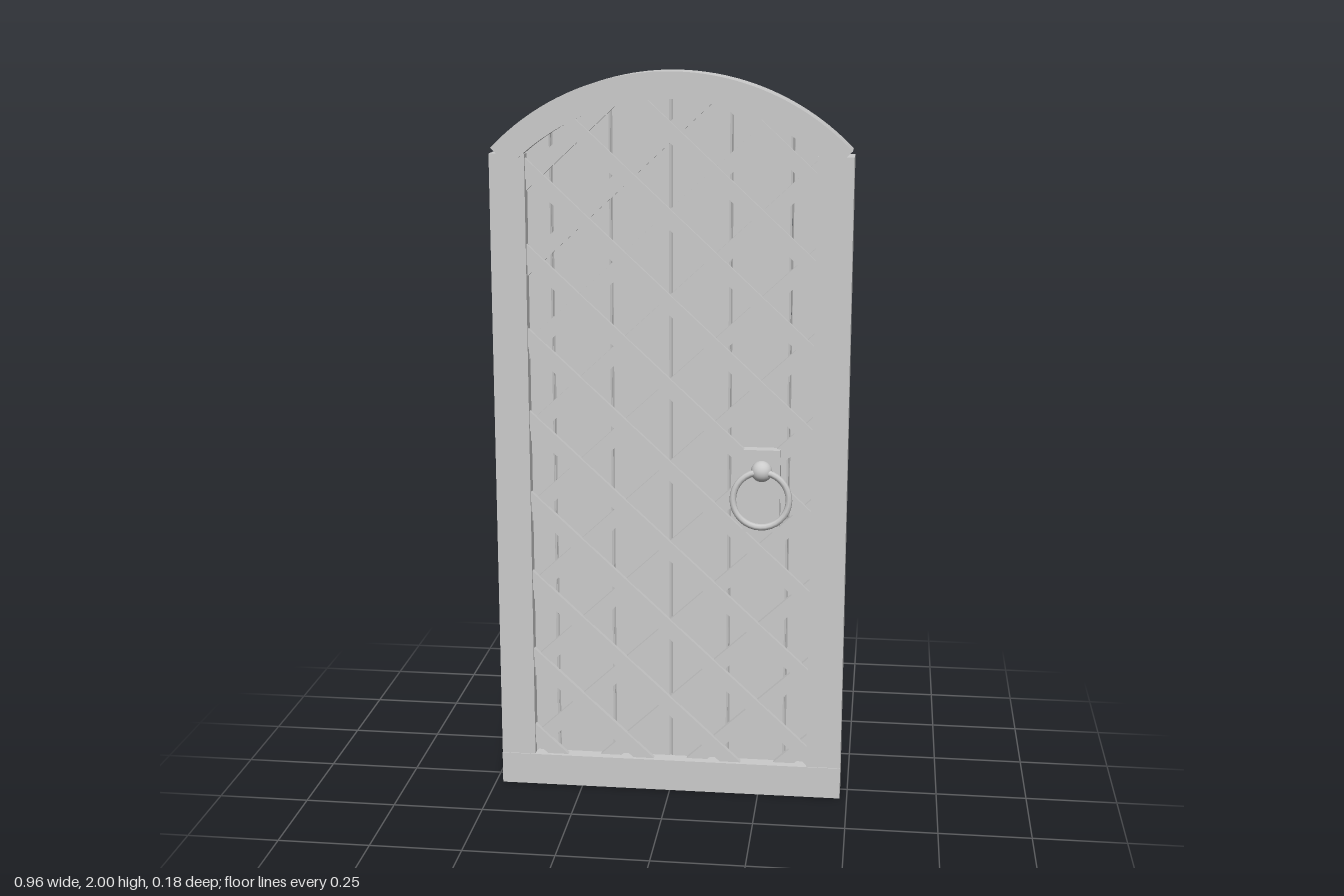
import * as THREE from 'three';

const mat = new THREE.MeshStandardMaterial({ color: 0xcccccc, flatShading: true });
const smooth = new THREE.MeshStandardMaterial({ color: 0xcccccc });

// Arch centre and radii shared by frame, boards and lattice
const CY = 1.336, R_OUT = 0.664, R_IN = 0.594;
const archY = (x, r) => CY + Math.sqrt(r * r - x * x);

function add(parent, name, geometry, material = mat) {
  const mesh = new THREE.Mesh(geometry, material);
  mesh.name = name;
  parent.add(mesh);
  return mesh;
}

// Box given by its limits on each axis
function box(parent, name, x0, x1, y0, y1, z0, z1) {
  const mesh = add(parent, name, new THREE.BoxGeometry(x1 - x0, y1 - y0, z1 - z0));
  mesh.position.set((x0 + x1) / 2, (y0 + y1) / 2, (z0 + z1) / 2);
  return mesh;
}

function extrude(parent, name, shape, z0, z1, options = {}) {
  const geometry = new THREE.ExtrudeGeometry(shape, { depth: z1 - z0, bevelEnabled: false, ...options });
  geometry.translate(0, 0, z0);
  return add(parent, name, geometry);
}

// One diagonal bar, cut to the arched opening
function latticeBar(parent, name, slope, offset, width, z0, z1) {
  const inside = (x, y) => y > 0.085 && Math.abs(x) < 0.388 && y < archY(x, R_IN + 0.005);
  let a = null, b = null;
  for (let x = -0.39; x <= 0.39; x += 0.002) {
    if (!inside(x, slope * x + offset)) continue;
    if (a === null) a = x;
    b = x;
  }
  if (a === null || b - a < 0.012) return;
  const angle = Math.atan(slope);
  const length = (b - a) / Math.cos(angle) + 0.04;
  const bar = add(parent, name, new THREE.BoxGeometry(length, width, z1 - z0));
  bar.position.set((a + b) / 2, slope * (a + b) / 2 + offset, (z0 + z1) / 2);
  bar.rotation.z = angle;
}

export function createModel() {
  const door = new THREE.Group();
  door.name = 'archedDoor';

  // Frame: two stiles, bottom rail and arched head
  const frame = new THREE.Group();
  frame.name = 'frame';
  door.add(frame);
  box(frame, 'rightStile', -0.48, -0.385, 0.01, 1.785, -0.04, 0.06);
  box(frame, 'leftStile', 0.385, 0.48, 0.01, 1.785, -0.04, 0.06);
  box(frame, 'bottomRail', -0.48, 0.48, 0, 0.09, -0.044, 0.063);
  const start = Math.asin(0.475 / R_OUT);
  const head = new THREE.Shape();
  head.absarc(0, CY, R_OUT, Math.PI / 2 - start, Math.PI / 2 + start, false);
  head.absarc(0, CY, R_IN, Math.PI / 2 + start, Math.PI / 2 - start, true);
  extrude(frame, 'archedHead', head, -0.042, 0.062, { curveSegments: 24 });

  // Vertical boards with chamfered edges and tops following the arch
  const boards = new THREE.Group();
  boards.name = 'boards';
  door.add(boards);
  const seams = [-0.4, -0.32, -0.16, 0, 0.16, 0.32, 0.4];
  const bevel = 0.005;
  for (let i = 0; i < seams.length - 1; i++) {
    const x0 = seams[i] + bevel, x1 = seams[i + 1] - bevel;
    const shape = new THREE.Shape();
    shape.moveTo(x0, 0.05);
    shape.lineTo(x1, 0.05);
    for (let k = 0; k <= 6; k++) {
      const x = x1 + (x0 - x1) * k / 6;
      shape.lineTo(x, archY(x, 0.62));
    }
    extrude(boards, 'board', shape, 0, 0.02,
      { bevelEnabled: true, bevelSegments: 1, bevelSize: bevel, bevelThickness: bevel });
  }

  // Crossed lattice on both faces, the falling bars outermost
  const lattice = new THREE.Group();
  lattice.name = 'lattice';
  door.add(lattice);
  const slope = 0.93, spacing = 0.228;
  for (let i = -2; i < 12; i++) {
    const offset = i * spacing;
    latticeBar(lattice, 'frontFallingBar', -slope, offset + 0.02, 0.04, 0.036, 0.052);
    latticeBar(lattice, 'frontRisingBar', slope, offset + 0.02, 0.04, 0.022, 0.04);
    latticeBar(lattice, 'backFallingBar', -slope, offset + 0.02, 0.045, -0.033, -0.016);
    latticeBar(lattice, 'backRisingBar', slope, offset + 0.02, 0.04, -0.02, -0.002);
  }

  // Front ring pull: plate, ball and tilted ring
  const pull = new THREE.Group();
  pull.name = 'ringPull';
  door.add(pull);
  box(pull, 'ringPlate', 0.2, 0.3, 0.77, 1.0, 0.02, 0.058);
  const ball = add(pull, 'ringBall', new THREE.SphereGeometry(0.029, 20, 14), smooth);
  ball.position.set(0.25, 0.942, 0.06);
  const ring = add(pull, 'ring', new THREE.TorusGeometry(0.076, 0.009, 8, 32), smooth);
  ring.position.set(0.25, 0.867, 0.077);
  ring.rotation.x = -0.06;

  // Back grip on its plate beside the stile
  const grip = new THREE.Group();
  grip.name = 'backGrip';
  door.add(grip);
  box(grip, 'gripPlate', 0.285, 0.39, 0.77, 1.0, -0.04, 0);
  // Profile drawn as (depth, height), then turned so it sticks out behind
  const profile = new THREE.Shape([
    [0.03, 0.775], [0.075, 0.78], [0.09, 0.8], [0.09, 0.955], [0.075, 0.975], [0.03, 0.98],
    [0.03, 0.966], [0.068, 0.961], [0.077, 0.948], [0.077, 0.807], [0.068, 0.794], [0.03, 0.789],
  ].map(([d, y]) => new THREE.Vector2(d, y)));
  const bar = extrude(grip, 'gripBar', profile, 0, 0.032);
  bar.rotation.y = Math.PI / 2;
  bar.position.x = 0.317;

  return door;
}
